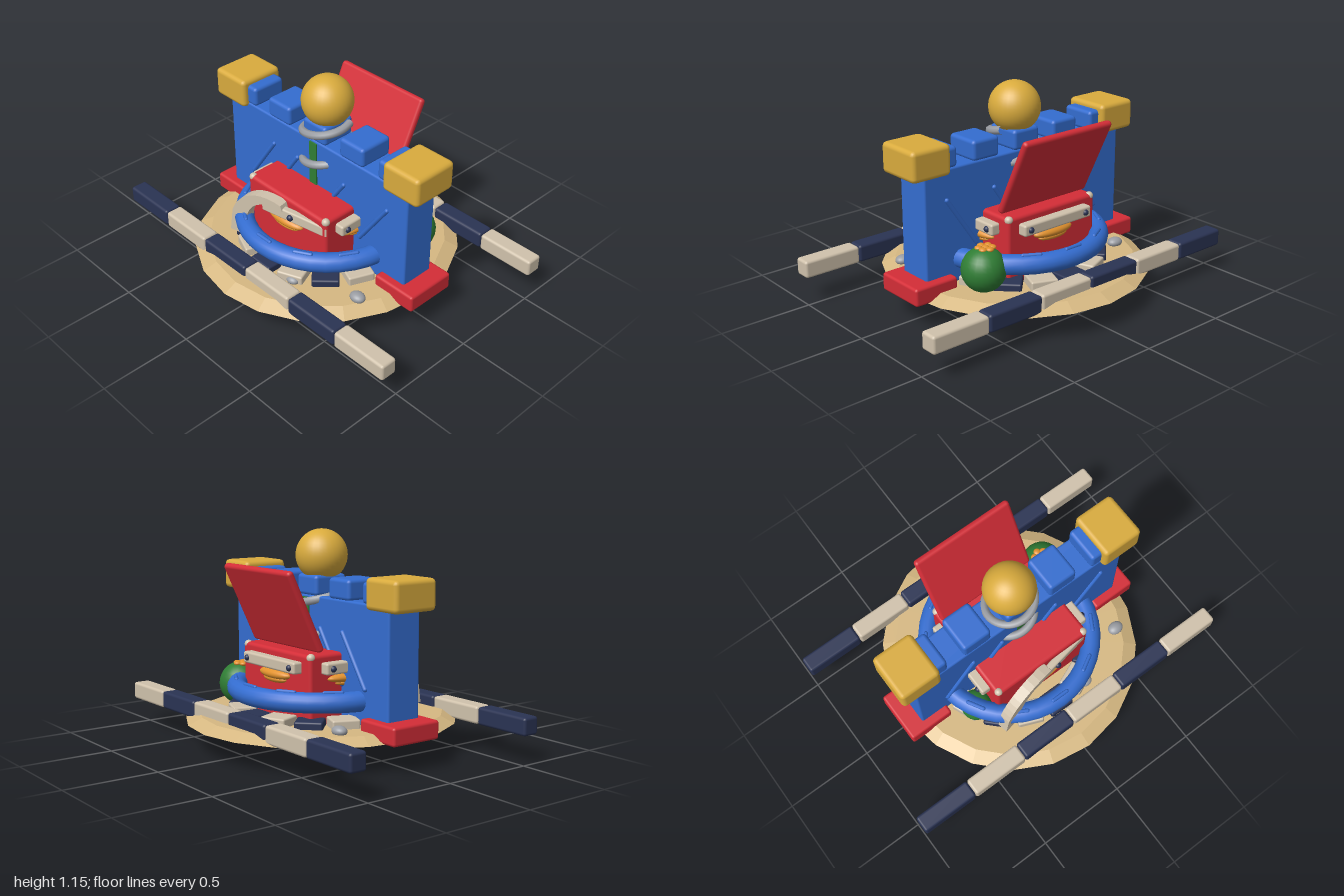
import * as THREE from 'three';
import { RoundedBoxGeometry } from 'three/addons/geometries/RoundedBoxGeometry.js';

const mat = (name, color, extra = {}) => new THREE.MeshStandardMaterial({ name, color, ...extra });

export function createModel() {
  const red = mat('red', 0xd42d37), blue = mat('blue', 0x346dd0), gold = mat('gold', 0xd9ab3d);
  const navy = mat('navy', 0x2a3353), cream = mat('cream', 0xd0c2ac);
  const sand = mat('sand', 0xd6b882, { flatShading: true });
  const green = mat('green', 0x2f7d34), brightGreen = mat('bright green', 0x35a027);
  const grey = mat('grey', 0x9a9da3), orange = mat('orange', 0xe2922e);
  const model = new THREE.Group();

  const add = (name, geo, m, x = 0, y = 0, z = 0, parent = model) => {
    const mesh = new THREE.Mesh(geo, m);
    mesh.name = name;
    mesh.position.set(x, y, z);
    parent.add(mesh);
    return mesh;
  };
  const box = (w, h, d, r = 0.015) => new RoundedBoxGeometry(w, h, d, 2, r);
  const ball = (r) => new THREE.SphereGeometry(r, 24, 16);

  // Sandy island, twenty sided
  const island = add('island', new THREE.CylinderGeometry(0.66, 0.735, 0.037, 20), sand, 0, 0.1635, 0);
  island.scale.x = 0.968;

  // Striped rails, front and back
  for (const z of [-0.552, 0.552])
    for (let i = 0; i < 6; i++)
      add('railSegment', box(0.331, 0.095, 0.096), i % 2 ? cream : navy, -1 + (i + 0.5) / 3, 0.193, z);

  // Ring of alternating tiles
  for (let i = 0; i < 16; i++) {
    const a = i * Math.PI / 8;
    const tile = add('ringTile', box(0.145, 0.08, 0.13, 0.01), i % 2 ? cream : navy,
      Math.sin(a) * 0.43, i % 2 ? 0.188 : 0.18, Math.cos(a) * 0.43);
    tile.rotation.y = a;
  }

  // Floating ring with small raised dashes
  const ring = add('floatRing', new THREE.TorusGeometry(0.453, 0.053, 16, 40), blue, 0, 0.31, 0);
  ring.rotation.x = Math.PI / 2;
  for (let i = 0; i < 12; i++) {
    const a = i * Math.PI / 6;
    const dash = add('ringDash', new THREE.CapsuleGeometry(0.011, 0.09, 4, 8), blue,
      Math.sin(a) * 0.457, 0.361, Math.cos(a) * 0.457);
    dash.rotation.set(0, a, Math.PI / 2);
  }

  // Castle wall, battlements, corner blocks and feet
  add('wall', box(1.33, 0.62, 0.2, 0.012), blue, 0, 0.497, 0);
  for (let i = -2; i <= 2; i++)
    add('battlement', box(0.17, 0.11, 0.2, 0.02), blue, i * 0.27, 0.857, 0);
  for (const s of [-1, 1]) {
    add('cornerBlock', box(0.235, 0.162, 0.265, 0.025), gold, s * 0.634, 0.861, 0);
    add('foot', box(0.26, 0.097, 0.295, 0.015), red, s * 0.635, 0.192, 0);
  }
  for (const x of [-0.4, -0.215, 0.135, 0.44])
    for (const z of [-0.102, 0.102]) {
      const bar = add('wallDash', new THREE.CapsuleGeometry(0.013, 0.32, 4, 8), blue, x, 0.51, z);
      bar.rotation.z = -0.6;
    }
  add('vine', new THREE.BoxGeometry(0.052, 0.3, 0.215), green, 0, 0.645, 0);

  // Ball on a spring
  add('topBall', new THREE.SphereGeometry(0.138, 32, 24), gold, 0, 1.01, 0);
  const coil = [];
  for (let i = 0; i <= 48; i++) {
    const t = -Math.PI * 2 + i * Math.PI * 4.6 / 48;
    coil.push(new THREE.Vector3(Math.sin(t) * 0.13, 0.675 + t * 0.182 / (Math.PI * 2), Math.cos(t) * 0.13));
  }
  add('spring', new THREE.TubeGeometry(new THREE.CatmullRomCurve3(coil), 110, 0.022, 8), grey);

  // Toy box with open lid and corner studs
  add('toyBox', box(0.6, 0.39, 0.6, 0.02), red, 0, 0.345, 0);
  const lid = add('lid', box(0.59, 0.46, 0.04, 0.018), red, 0, 0.758, -0.315);
  lid.rotation.x = -0.445;
  for (const x of [-0.28, 0.28])
    for (const z of [-0.28, 0.28]) add('cornerStud', ball(0.022), cream, x, 0.525, z);

  // Cream bands with rivets and orange pulls on each side of the box
  for (let i = 0; i < 4; i++) {
    const side = new THREE.Group();
    side.name = 'boxSide';
    side.rotation.y = i * Math.PI / 2;
    model.add(side);
    const w = i % 2 ? 0.19 : 0.13;
    const pull = add('pull', ball(1), orange, 0, 0.41, 0.3, side);
    pull.scale.set(w, 0.03, 0.045);
    const lower = add('pullLip', ball(1), orange, 0, 0.385, 0.3, side);
    lower.scale.set(w * 0.75, 0.022, 0.035);
    if (i === 0) continue;
    add('band', box(0.46, 0.062, 0.06, 0.012), cream, 0, 0.47, 0.32, side);
    for (const x of [-0.19, 0.19]) add('rivet', ball(0.017), navy, x, 0.47, 0.348, side);
  }

  // Loose front strap, turned away from the box, with its curled end
  const strap = new THREE.Group();
  strap.name = 'looseStrap';
  strap.position.set(0, 0, 0.33);
  strap.rotation.y = 0.18;
  model.add(strap);
  add('strapBand', box(0.42, 0.062, 0.04, 0.01), cream, 0.09, 0.47, 0, strap);
  add('rivet', ball(0.018), navy, 0.07, 0.47, 0.02, strap);
  const curl = new THREE.Shape();
  curl.moveTo(-0.34, 0.22);
  curl.lineTo(-0.32, 0.36);
  curl.bezierCurveTo(-0.27, 0.49, -0.14, 0.56, 0.01, 0.52);
  curl.lineTo(0.02, 0.49);
  curl.bezierCurveTo(-0.12, 0.51, -0.2, 0.44, -0.22, 0.36);
  curl.lineTo(-0.24, 0.22);
  add('strapCurl', new THREE.ExtrudeGeometry(curl, { depth: 0.06, bevelEnabled: false, curveSegments: 10 }),
    cream, 0, 0, -0.035, strap);

  // Bushes, with a flower on the large one
  add('largeBush', ball(0.118), green, 0.415, 0.288, -0.245);
  add('smallBush', ball(0.085), green, -0.375, 0.25, 0.2);
  for (let i = 0; i < 7; i++) {
    const a = i * Math.PI / 3, r = i < 6 ? 0.035 : 0;
    const petal = add('petal', ball(0.021), orange, 0.4 + Math.sin(a) * r, 0.4, -0.24 + Math.cos(a) * r);
    petal.scale.y = 0.6;
  }

  // Pebbles
  for (const [x, z, r] of [[-0.5, -0.27, 0.045], [0.53, 0.295, 0.045], [0.2, 0.44, 0.038]]) {
    const pebble = add('pebble', ball(r), grey, x, 0.195, z);
    pebble.scale.set(1, 0.6, 0.8);
  }

  // Hanging gem with crosses and orange studs
  const profile = [[0, 0], [0.025, 0.008], [0.07, 0.052], [0.125, 0.122], [0.128, 0.146]]
    .map(([x, y]) => new THREE.Vector2(x, y));
  add('gem', new THREE.LatheGeometry(profile, 16), brightGreen);
  for (let i = 0; i < 4; i++) {
    const face = new THREE.Group();
    face.name = 'gemFace';
    face.rotation.y = Math.PI / 4 + i * Math.PI / 2;
    model.add(face);
    const cross = new THREE.Group();
    cross.name = 'gemCross';
    cross.position.set(0, 0.085, 0.099);
    cross.rotation.x = 0.65;
    face.add(cross);
    add('crossBar', new THREE.BoxGeometry(0.075, 0.022, 0.02), cream, 0, 0, 0, cross);
    add('crossPost', new THREE.BoxGeometry(0.022, 0.075, 0.02), cream, 0, 0, 0, cross);
    const a = i * Math.PI / 2;
    const stud = add('gemStud', ball(1), orange, Math.sin(a) * 0.075, 0.055, Math.cos(a) * 0.075);
    stud.rotation.y = a;
    stud.scale.set(0.032, 0.016, 0.014);
  }
  return model;
}
